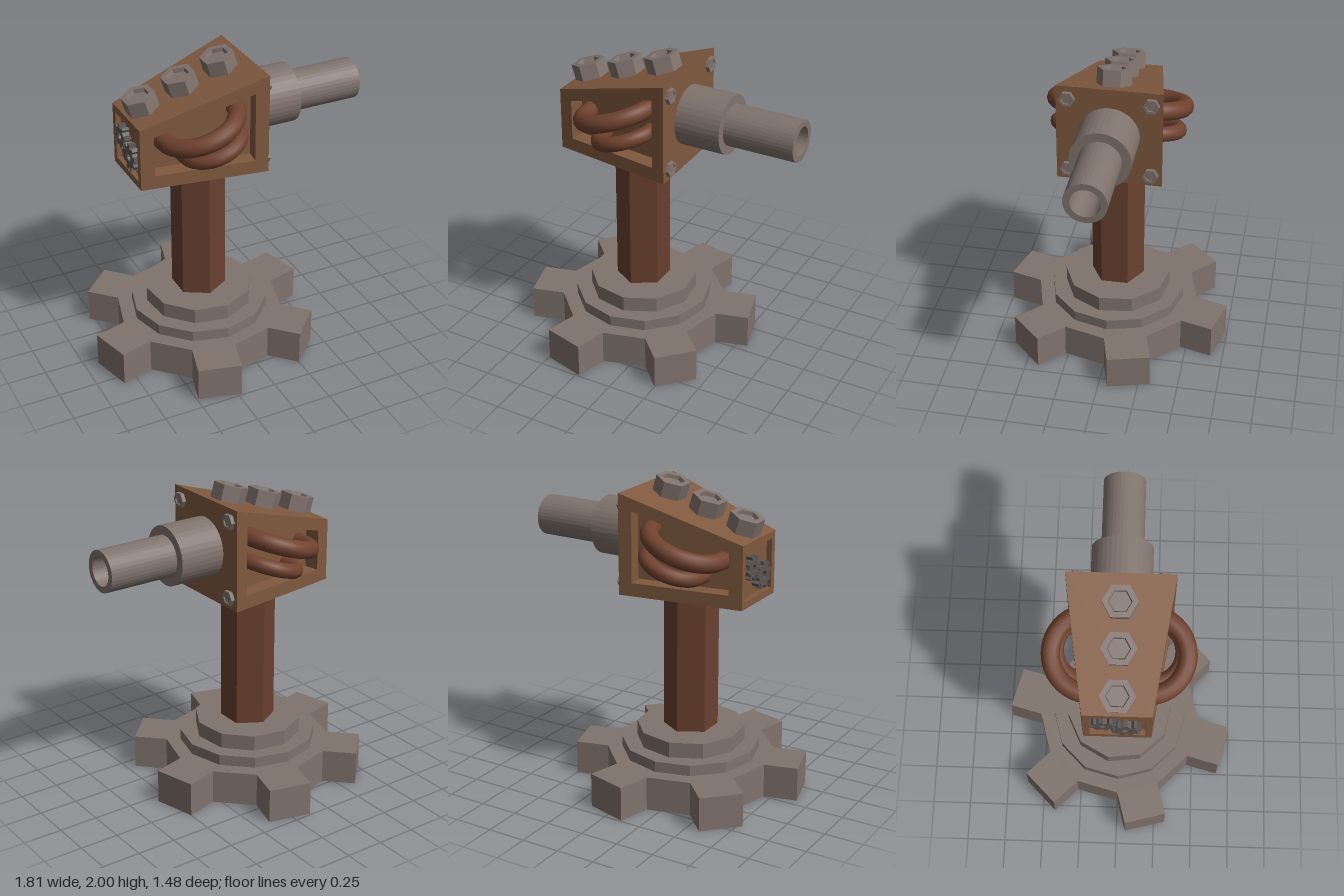
import * as THREE from 'three';

const mat = (color, flatShading = true) => new THREE.MeshStandardMaterial({ color, flatShading });
const metal = mat(0x80736d);
const darkMetal = mat(0x5c5653);
const bronze = mat(0x80593f);
const rust = mat(0x68402f);
const coilMat = mat(0x70422f, false);
const CX = -0.17; // axis of base and pole
const SLOPE = Math.atan2(0.24, 0.79); // pitch of the roof

function add(parent, name, geometry, material, x = 0, y = 0, z = 0) {
  const mesh = new THREE.Mesh(geometry, material);
  mesh.name = name;
  mesh.position.set(x, y, z);
  parent.add(mesh);
  return mesh;
}

// Gear with straight teeth, extruded along +z
function gearGeometry(teeth, rootR, tipR, halfWidth, depth, offset, hole = 0) {
  const shape = new THREE.Shape();
  for (let i = 0; i < teeth; i++) {
    const a = offset + (i / teeth) * Math.PI * 2;
    [[rootR, -halfWidth], [tipR, -halfWidth], [tipR, halfWidth], [rootR, halfWidth]].forEach(([r, w], k) => {
      const x = r * Math.cos(a) - w * Math.sin(a);
      const y = r * Math.sin(a) + w * Math.cos(a);
      if (i + k === 0) shape.moveTo(x, y);
      else shape.lineTo(x, y);
    });
  }
  shape.closePath();
  if (hole) shape.holes.push(new THREE.Path().absarc(0, 0, hole, 0, Math.PI * 2, true));
  return new THREE.ExtrudeGeometry(shape, { depth, bevelEnabled: false, curveSegments: 6 });
}

function lathe(profile, sides) {
  return new THREE.LatheGeometry(profile.map(([r, y]) => new THREE.Vector2(r, y)), sides);
}

// Hexagonal bolt head with a shallow hexagonal socket
const boltGeometry = (r, h) => lathe(
  [[0, -0.01], [r, -0.01], [r, h], [r * 0.66, h], [r * 0.6, h * 0.75], [0, h * 0.75]], 6);

// Geometry from quads with corners counter-clockwise seen from outside
function quadGeometry(quads) {
  const pos = [];
  for (const [a, b, c, d] of quads) for (const p of [a, b, c, a, c, d]) pos.push(p.x, p.y, p.z);
  const g = new THREE.BufferGeometry();
  g.setAttribute('position', new THREE.Float32BufferAttribute(pos, 3));
  g.computeVertexNormals();
  return g;
}

// Quads of a framed panel: rim, recess walls and recess floor
function recessedPanel(outer, inner, depth) {
  const normal = outer[1].clone().sub(outer[0]).cross(outer[3].clone().sub(outer[0])).normalize();
  const floor = inner.map((p) => p.clone().addScaledVector(normal, -depth));
  const quads = [floor];
  for (let i = 0; i < 4; i++) {
    const j = (i + 1) % 4;
    quads.push([outer[i], outer[j], inner[j], inner[i]], [inner[i], inner[j], floor[j], floor[i]]);
  }
  return quads;
}

function headGeometry() {
  const halfDepth = (x) => 0.205 + ((x + 0.635) / 0.79) * 0.12;
  const side = (x, y, s) => new THREE.Vector3(x, y, s * halfDepth(x));
  const outline = [[-0.635, 1.29], [0.155, 1.29], [0.155, 1.93], [-0.635, 1.69]];
  const windowPts = [[-0.55, 1.375], [0.07, 1.375], [0.07, 1.825], [-0.55, 1.635]];
  const L = outline.map(([x, y]) => side(x, y, 1));
  const R = outline.map(([x, y]) => side(x, y, -1));
  const wl = windowPts.map(([x, y]) => side(x, y, 1));
  const wr = windowPts.map(([x, y]) => side(x, y, -1));
  const back = [[1.335, -0.165], [1.335, 0.165], [1.645, 0.165], [1.645, -0.165]]
    .map(([y, z]) => new THREE.Vector3(-0.635, y, z));
  return quadGeometry([
    ...recessedPanel(L, wl, 0.1),
    ...recessedPanel([R[1], R[0], R[3], R[2]], [wr[1], wr[0], wr[3], wr[2]], 0.1),
    ...recessedPanel([R[0], L[0], L[3], R[3]], back, 0.035),
    [L[1], R[1], R[2], L[2]], // muzzle face
    [L[3], L[2], R[2], R[3]], // roof
    [R[0], R[1], L[1], L[0]], // underside
  ]);
}

// Closed coil: two half circles joined by straight runs through the head
function coilGeometry(radius, half, tube) {
  const pts = [];
  for (const s of [1, -1]) {
    for (let i = 0; i <= 10; i++) {
      const a = (i / 10) * Math.PI;
      pts.push(new THREE.Vector3(s * radius * Math.cos(a), 0, s * (half + radius * Math.sin(a))));
    }
  }
  return new THREE.TubeGeometry(new THREE.CatmullRomCurve3(pts, true), 64, tube, 12, true);
}

export function createModel() {
  const model = new THREE.Group();
  model.name = 'cannonTurret';

  // Base: toothed wheel and two stepped discs
  const base = new THREE.Group();
  base.name = 'base';
  base.position.x = CX;
  model.add(base);
  add(base, 'baseGear', gearGeometry(6, 0.516, 0.73, 0.137, 0.22, Math.PI / 12), metal)
    .rotation.x = -Math.PI / 2;
  add(base, 'lowerDisc', new THREE.CylinderGeometry(0.44, 0.44, 0.07, 12), metal, 0, 0.255);
  add(base, 'upperDisc', new THREE.CylinderGeometry(0.345, 0.345, 0.1, 10), metal, 0, 0.34)
    .rotation.y = THREE.MathUtils.degToRad(7);

  // Pole
  add(model, 'pole', new THREE.CylinderGeometry(0.172, 0.172, 0.92, 6), rust, CX, 0.84);

  // Head with recessed windows
  add(model, 'head', headGeometry(), bronze);

  // Coils bulging out of both side windows
  add(model, 'upperCoil', coilGeometry(0.238, 0.165, 0.057), coilMat, -0.235, 1.635).rotation.z = SLOPE + 0.03;
  add(model, 'lowerCoil', coilGeometry(0.18, 0.2, 0.048), coilMat, -0.167, 1.505).rotation.z = SLOPE + 0.03;

  // Stepped hollow barrel
  add(model, 'barrel', lathe([[0.187, 0], [0.187, 0.295], [0.13, 0.295], [0.13, 0.745],
    [0.09, 0.745], [0.09, 0.4], [0, 0.4]], 36), metal, 0.155, 1.62).rotation.z = -Math.PI / 2;

  // Roof bolts
  for (const x of [-0.526, -0.267, -0.01]) {
    add(model, 'roofBolt', boltGeometry(0.107, 0.1), metal, x, 1.69 + (x + 0.635) * Math.tan(SLOPE))
      .rotation.z = SLOPE;
  }

  // Corner bolts around the barrel
  for (const z of [-0.255, 0.255]) {
    for (const y of [1.365, 1.85]) {
      add(model, 'cornerBolt', boltGeometry(0.05, 0.025), metal, 0.155, y, z).rotation.z = -Math.PI / 2;
    }
  }

  // Meshing cogs in the rear window
  for (const [y, z, r, teeth] of [[1.525, -0.08, 0.077, 8], [1.447, 0.053, 0.088, 9]]) {
    add(model, 'rearCog', gearGeometry(teeth, r * 0.74, r, r * 0.14, 0.045, 0.2, r * 0.3), darkMetal, -0.602, y, z)
      .rotation.y = -Math.PI / 2;
  }
  return model;
}
